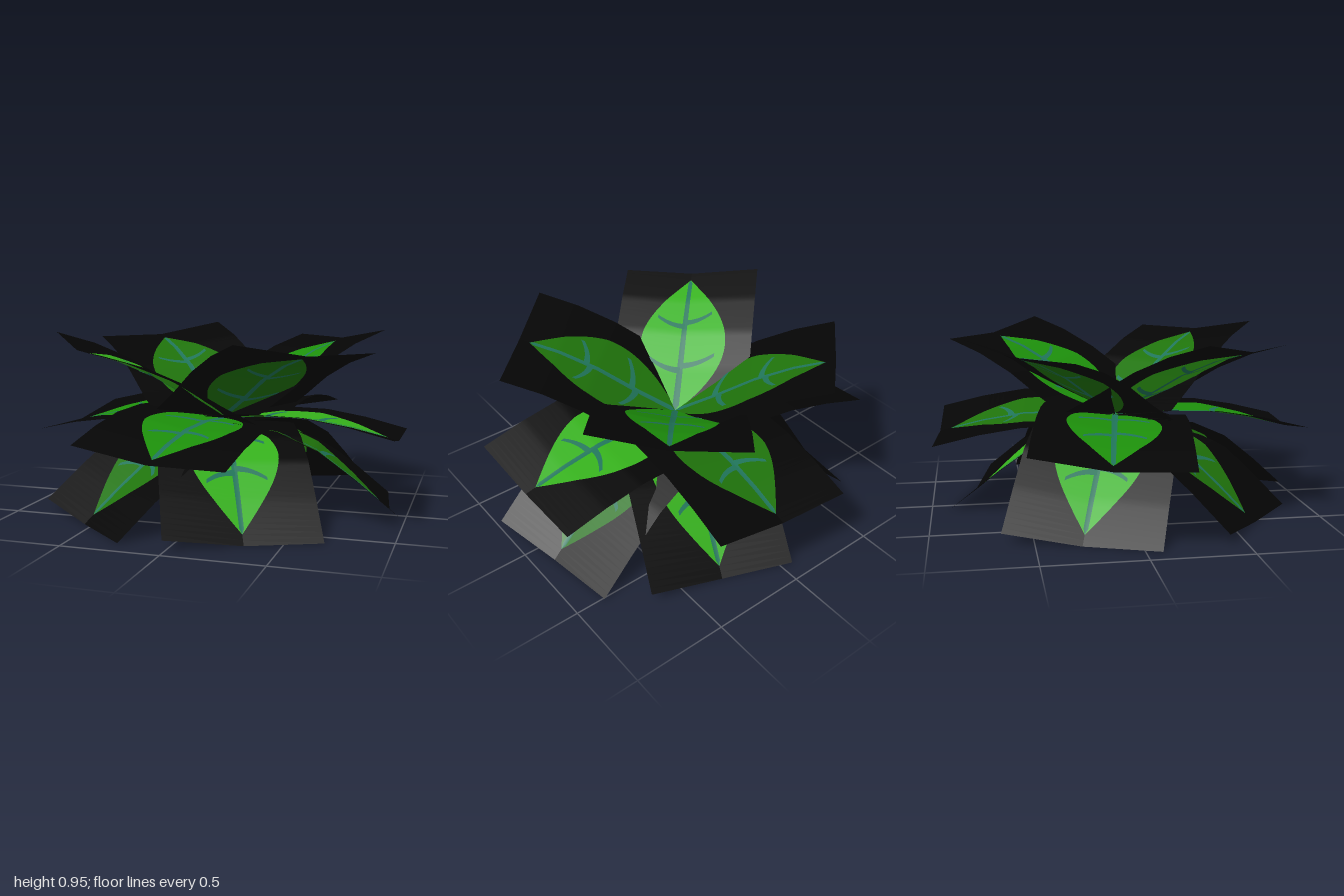
import * as THREE from 'three';

const mat = (name, color) => {
  const m = new THREE.MeshStandardMaterial({ color, side: THREE.DoubleSide });
  m.name = name;
  return m;
};

const HALF = 0.385;   // half width of a card
const RAISE = 0.07;   // lift of the folded edge
const ROWS = 32;
const LEAF_END = 30 / 32;

// Half width of the leaf outline at t along the card
function leafWidth(t) {
  const q = t / LEAF_END;
  return q <= 0 || q >= 1 ? 0 : 0.24 * Math.sin(Math.PI * Math.pow(q, 0.85));
}

// Returns a function (t, s) -> point on a bent card with one half folded up
function cardSurface(profile, angle, shift) {
  const knots = profile.map(([r, y]) => new THREE.Vector2(r, y));
  const raised = knots.map((k, i) => {
    const a = knots[Math.max(i - 1, 0)], b = knots[Math.min(i + 1, knots.length - 1)];
    const d = b.clone().sub(a).normalize();
    return new THREE.Vector2(k.x - d.y * RAISE, k.y + d.x * RAISE);
  });
  const at = (list, t) => {
    const u = t * (list.length - 1), i = Math.min(Math.floor(u), list.length - 2);
    return list[i].clone().lerp(list[i + 1], u - i);
  };
  const a = THREE.MathUtils.degToRad(angle), c = Math.cos(a), n = Math.sin(a);
  return (t, s) => {
    const p = at(knots, t).lerp(at(raised, t), Math.max(s / HALF, 0));
    const r = p.x + shift;
    return new THREE.Vector3(r * c - s * n, p.y, r * n + s * c);
  };
}

// Card grid whose columns follow the leaf outline and the midrib
function cardGeometry(surface) {
  const pos = [], faces = [[], [], []];
  const columnMaterial = [0, 1, 2, 2, 1, 0];
  for (let i = 0; i <= ROWS; i++) {
    const t = i / ROWS, w = leafWidth(t), v = Math.min(0.018 * (1 - 0.4 * t), w * 0.6);
    for (const s of [-HALF, -w, -v, 0, v, w, HALF]) pos.push(...surface(t, s).toArray());
    if (i === ROWS) break;
    columnMaterial.forEach((m, j) => {
      const a = i * 7 + j, c = a + 7;
      faces[m].push(a, a + 1, c, a + 1, c + 1, c);
    });
  }
  const g = new THREE.BufferGeometry();
  g.setAttribute('position', new THREE.Float32BufferAttribute(pos, 3));
  g.setIndex(faces.flat());
  let start = 0;
  faces.forEach((f, m) => { g.addGroup(start, f.length, m); start += f.length; });
  g.computeVertexNormals();
  return g;
}

// Curved side veins, as ribbons just above and below the leaf
function veinGeometry(surface) {
  const pos = [], index = [], steps = 8, e = 0.01;
  for (const off of [0.002, -0.002])
    for (const q of [0.26, 0.58])
      for (const side of [-1, 1]) {
        const t0 = q * LEAF_END + (side > 0 ? 0.03 : 0);
        const reach = leafWidth(t0 + 0.06) * 0.8;
        const first = pos.length / 3;
        for (let k = 0; k <= steps; k++) {
          const u = k / steps, s = side * u * reach;
          const t = t0 + 0.07 * u * u, half = 0.02 * (1 - 0.4 * u);
          for (const d of [-half, half]) {
            const p = surface(t + d, s);
            const ds = surface(t + d, s + side * e).sub(p).multiplyScalar(side);
            const dt = surface(t + d + e, s).sub(p);
            pos.push(...p.addScaledVector(ds.cross(dt).normalize(), off).toArray());
          }
          if (k < steps) {
            const a = first + k * 2;
            if (side > 0) index.push(a, a + 2, a + 1, a + 1, a + 2, a + 3);
            else index.push(a, a + 1, a + 2, a + 1, a + 3, a + 2);
          }
        }
      }
  const g = new THREE.BufferGeometry();
  g.setAttribute('position', new THREE.Float32BufferAttribute(pos, 3));
  g.setIndex(index);
  g.computeVertexNormals();
  return g;
}

export function createModel() {
  const black = mat('cardBlack', 0x050505);
  const light = mat('lightGreen', 0x35b01b);
  const mid = mat('midGreen', 0x1d900b);
  const dark = mat('darkGreen', 0x1f730b);
  const teal = mat('veinTeal', 0x20755a);

  // Each tier: [radius, height] profile and [angle, outward shift, green] per leaf
  const tiers = [
    {
      name: 'upperLeaf',
      profile: [[0, 0.49], [0.22, 0.61], [0.42, 0.73], [0.62, 0.82], [0.83, 0.885]],
      leaves: [[45, 0, dark], [135, 0, light], [225, 0, dark], [310, 0, mid]],
    },
    {
      name: 'middleLeaf',
      profile: [[0, 0.48], [0.25, 0.5], [0.5, 0.495], [0.72, 0.46], [0.95, 0.405]],
      leaves: [[0, 0, light], [94.7, 0, mid], [189.7, 0, mid], [274.7, 0, dark]],
    },
    {
      name: 'lowerLeaf',
      profile: [[0, 0.45], [0.22, 0.41], [0.42, 0.32], [0.62, 0.17], [0.82, 0.005]],
      leaves: [[-8, 0.085, dark], [66.5, 0, light], [131, 0.015, dark], [200, 0, light], [291, 0, light]],
    },
  ];

  const plant = new THREE.Group();
  plant.name = 'plant';
  for (const { name, profile, leaves } of tiers)
    leaves.forEach(([angle, shift, green], i) => {
      const surface = cardSurface(profile, angle, shift);
      const leaf = new THREE.Group();
      leaf.name = name + (i + 1);
      const card = new THREE.Mesh(cardGeometry(surface), [black, green, teal]);
      card.name = 'leafCard';
      const veins = new THREE.Mesh(veinGeometry(surface), teal);
      veins.name = 'sideVeins';
      leaf.add(card, veins);
      plant.add(leaf);
    });
  return plant;
}
